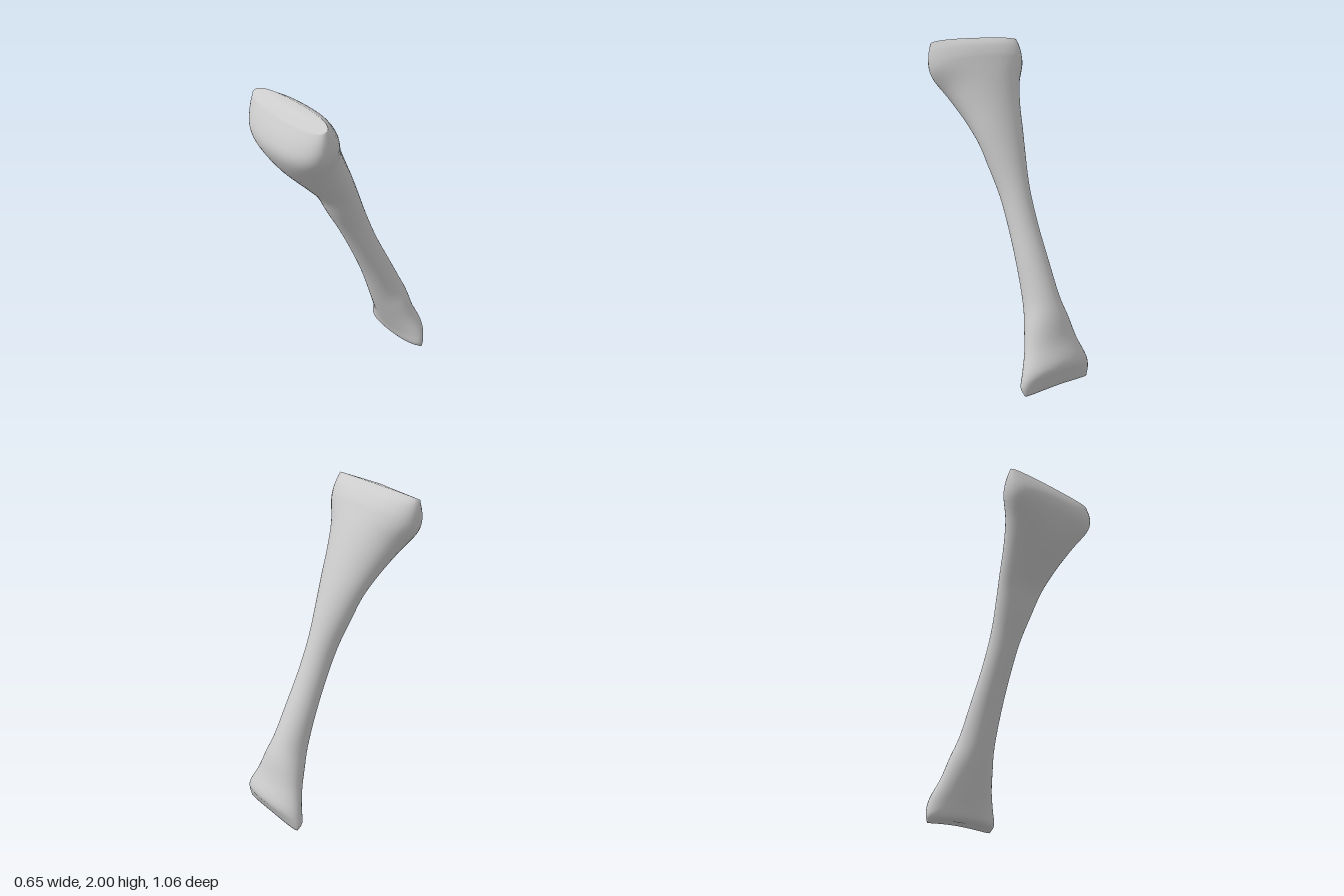
import * as THREE from 'three';

// Cross-sections from foot to head:
// [back y, back z, front y, front z, half width, drop of the outer sides, squareness]
const SECTIONS = [
  [0.02, -0.47, 0.03, -0.42, 0.232, 0.02, 2.2],
  [0.10, -0.505, 0.04, -0.36, 0.245, 0.015, 2.2],
  [0.18, -0.53, 0.12, -0.325, 0.225, 0.01, 2],
  [0.30, -0.48, 0.20, -0.29, 0.18, 0, 2],
  [0.43, -0.44, 0.32, -0.24, 0.145, 0, 2],
  [0.55, -0.385, 0.45, -0.19, 0.112, 0, 2],
  [0.75, -0.285, 0.65, -0.12, 0.098, 0, 2],
  [0.95, -0.185, 0.85, -0.035, 0.09, 0, 2],
  [1.15, -0.10, 1.05, 0.06, 0.094, 0, 2],
  [1.35, -0.02, 1.22, 0.15, 0.125, 0, 2],
  [1.50, 0.045, 1.35, 0.215, 0.155, 0, 2],
  [1.65, 0.115, 1.47, 0.32, 0.195, 0, 2],
  [1.78, 0.18, 1.60, 0.44, 0.25, 0, 2.1],
  [1.87, 0.23, 1.71, 0.51, 0.31, 0, 2.3],
  [1.92, 0.26, 1.79, 0.53, 0.324, 0, 2.4],
  [1.97, 0.305, 1.87, 0.505, 0.322, 0, 2.4],
  [2.00, 0.36, 1.945, 0.46, 0.312, 0, 2.4],
];
const AROUND = 40, STEPS = 4;

// Lofts a closed skin through the smoothed cross-sections
function boneGeometry() {
  const back = new THREE.SplineCurve(SECTIONS.map((s) => new THREE.Vector2(s[1], s[0])));
  const front = new THREE.SplineCurve(SECTIONS.map((s) => new THREE.Vector2(s[3], s[2])));
  const side = new THREE.SplineCurve(SECTIONS.map((s) => new THREE.Vector2(s[4], s[5])));
  const square = new THREE.SplineCurve(SECTIONS.map((s) => new THREE.Vector2(s[6], 0)));
  const positions = [], index = [];
  const rings = (SECTIONS.length - 1) * STEPS + 1;
  const bend = (v, n) => Math.sign(v) * Math.pow(Math.abs(v), 2 / n);

  for (let i = 0; i < rings; i++) {
    const t = i / (rings - 1);
    const b = back.getPoint(t), f = front.getPoint(t), s = side.getPoint(t);
    const n = square.getPoint(t).x;
    for (let j = 0; j < AROUND; j++) {
      const a = (j / AROUND) * Math.PI * 2;
      const c = bend(Math.cos(a), n), k = (bend(Math.sin(a), n) + 1) / 2;
      positions.push(s.x * c, b.y + (f.y - b.y) * k - s.y * c * c, b.x + (f.x - b.x) * k);
    }
  }
  for (let i = 0; i < rings - 1; i++) {
    for (let j = 0; j < AROUND; j++) {
      const p = i * AROUND + j, q = i * AROUND + ((j + 1) % AROUND);
      index.push(p, p + AROUND, q, q, p + AROUND, q + AROUND);
    }
  }
  // Foot and head caps
  const foot = positions.length / 3, head = foot + 1, last = (rings - 1) * AROUND;
  positions.push(0, 0.035, -0.445, 0, 1.985, 0.41);
  for (let j = 0; j < AROUND; j++) {
    const k = (j + 1) % AROUND;
    index.push(foot, j, k, head, last + k, last + j);
  }
  const geometry = new THREE.BufferGeometry();
  geometry.setAttribute('position', new THREE.Float32BufferAttribute(positions, 3));
  geometry.setIndex(index);
  geometry.computeVertexNormals();
  return geometry;
}

export function createModel() {
  const group = new THREE.Group();
  group.name = 'legBone';
  const bone = new THREE.Mesh(boneGeometry(), new THREE.MeshStandardMaterial({ color: 0xcccccc }));
  bone.name = 'bone';
  group.add(bone);
  return group;
}
